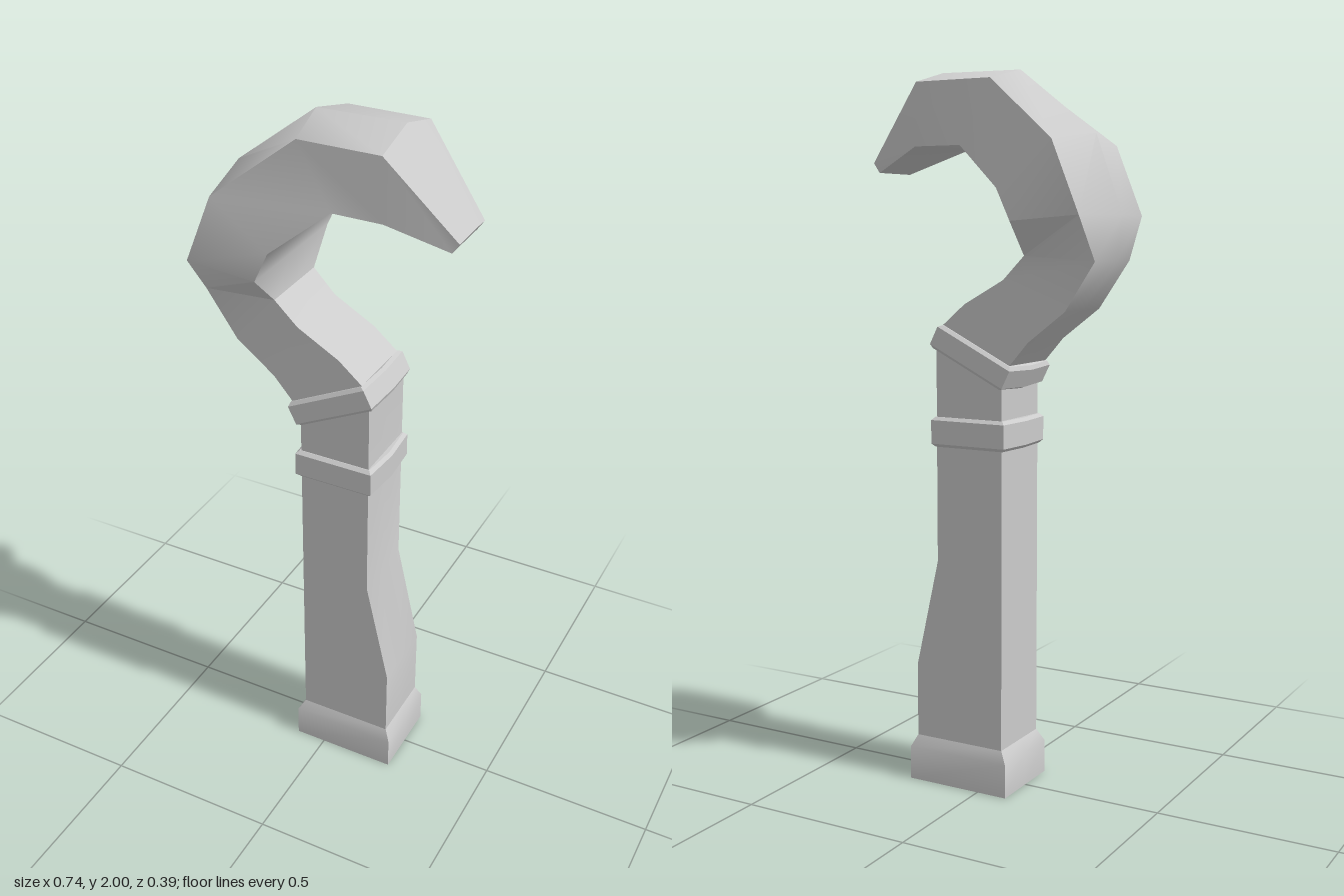
import * as THREE from 'three';
import { toCreasedNormals } from 'three/addons/utils/BufferGeometryUtils.js';

// Skin six-sided sections: [outer x, outer y, inner x, inner y, half depth, outer bulge, inner bulge].
// The bulge pushes the middle of the outer or inner edge away from the section.
function loft(sections) {
  const pos = [], index = [];
  for (const [ox, oy, ix, iy, w, bo = 0, bi = 0] of sections) {
    const len = Math.hypot(ox - ix, oy - iy);
    const dx = (ox - ix) / len, dy = (oy - iy) / len;
    pos.push(
      ox + dx * bo, oy + dy * bo, 0, ox, oy, w, ix, iy, w,
      ix - dx * bi, iy - dy * bi, 0, ix, iy, -w, ox, oy, -w);
  }
  const last = (sections.length - 1) * 6;
  for (let s = 0; s < last; s += 6) {
    for (let j = 0; j < 6; j++) {
      const k = (j + 1) % 6;
      index.push(s + j, s + k, s + 6 + k, s + j, s + 6 + k, s + 6 + j);
    }
  }
  // End caps
  for (let j = 1; j < 5; j++) {
    index.push(0, j + 1, j, last, last + j, last + j + 1);
  }
  const geo = new THREE.BufferGeometry();
  geo.setAttribute('position', new THREE.Float32BufferAttribute(pos, 3));
  geo.setIndex(index);
  return toCreasedNormals(geo, 0.68);
}

// Bevelled band with slightly pointed ends, upright about its own centre
function collarGeometry(halfLength, halfHeight, halfDepth) {
  const b = 0.009;
  const ring = (y, inset) => [
    -halfLength + inset, y, halfLength - inset, y, halfDepth - inset, 0.009, 0.009];
  return loft([
    ring(-halfHeight, b), ring(-halfHeight + b, 0),
    ring(halfHeight - b, 0), ring(halfHeight, b)]);
}

export function createModel() {
  const group = new THREE.Group();
  const material = new THREE.MeshStandardMaterial({ color: 0xcccccc });
  const add = (name, geometry) => {
    const mesh = new THREE.Mesh(geometry, material);
    mesh.name = name;
    group.add(mesh);
    return mesh;
  };

  // Foot block with a sloped shoulder
  add('base', loft([
    [-0.09, 0, 0.222, 0, 0.118],
    [-0.09, 0.095, 0.222, 0.095, 0.118],
    [-0.07, 0.13, 0.205, 0.13, 0.104]]));

  // Handle, narrowing on one side, cut at a slant on top
  add('handle', loft([
    [-0.07, 0.12, 0.205, 0.12, 0.104],
    [-0.07, 0.34, 0.205, 0.34, 0.104],
    [-0.07, 0.65, 0.135, 0.65, 0.104],
    [-0.07, 1.18, 0.135, 1.28, 0.104]]));

  // Two bands
  const lower = add('lowerCollar', collarGeometry(0.115, 0.042, 0.115));
  lower.position.set(0.032, 1.018, 0);
  const upper = add('upperCollar', collarGeometry(0.126, 0.036, 0.117));
  upper.position.set(0.023, 1.23, 0);
  upper.rotation.z = 0.464;

  // Curved hook: narrow neck, broad back, tapering tip
  add('hook', loft([
    [-0.085, 1.2, 0.125, 1.305, 0.104],
    [-0.15, 1.275, 0.045, 1.373, 0.104],
    [-0.26, 1.36, -0.075, 1.44, 0.104],
    [-0.347, 1.491, -0.14, 1.505, 0.107, 0.012],
    [-0.343, 1.61, -0.145, 1.595, 0.195, 0.031],
    [-0.265, 1.8, -0.105, 1.68, 0.195, 0.039],
    [-0.053, 1.965, 0.04, 1.795, 0.135, 0.036],
    [0.175, 1.965, 0.18, 1.795, 0.135, 0.035],
    [0.354, 1.757, 0.335, 1.73, 0.077, 0.018]]));

  return group;
}
